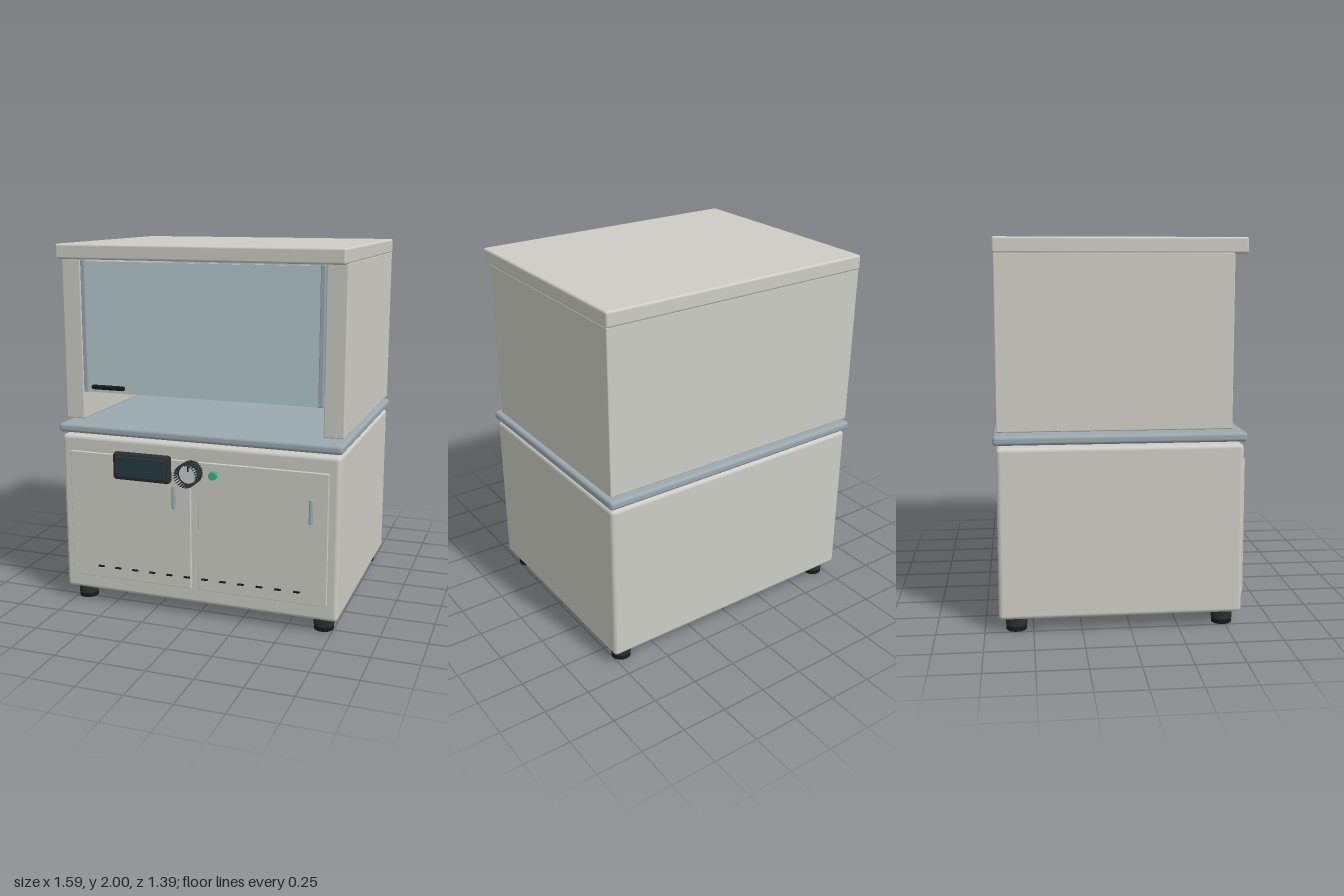
import * as THREE from 'three';
import { RoundedBoxGeometry } from 'three/addons/geometries/RoundedBoxGeometry.js';

const mat = (color) => new THREE.MeshStandardMaterial({ color });
const shell = mat(0xcdcdc5), steel = mat(0x9aa8ae), glass = mat(0xb4cacc), dark = mat(0x2b302f);
const black = mat(0x161a1a), screen = mat(0x243a40), green = mat(0x35b58a), silver = mat(0xc4cccf);

export function createModel() {
  const model = new THREE.Group();

  const add = (name, geometry, material, x = 0, y = 0, z = 0) => {
    const mesh = new THREE.Mesh(geometry, material);
    mesh.name = name;
    mesh.position.set(x, y, z);
    model.add(mesh);
    return mesh;
  };
  // Box given by its limits on each axis, with optional rounded edges
  const box = (name, material, [x0, x1], [y0, y1], [z0, z1], r = 0) => {
    const s = [x1 - x0, y1 - y0, z1 - z0];
    const g = r ? new RoundedBoxGeometry(...s, 3, r) : new THREE.BoxGeometry(...s);
    return add(name, g, material, (x0 + x1) / 2, (y0 + y1) / 2, (z0 + z1) / 2);
  };
  // Cylinder pointing along z between two depths
  const disc = (name, material, r, x, y, z0, z1, sides = 40) => {
    const g = new THREE.CylinderGeometry(r, r, z1 - z0, sides).rotateX(Math.PI / 2);
    return add(name, g, material, x, y, (z0 + z1) / 2);
  };

  // Lower cabinet and worktop
  box('cabinet', shell, [-0.785, 0.785], [0.075, 0.965], [-0.677, 0.578], 0.022);
  box('worktop', steel, [-0.797, 0.797], [0.979, 1.028], [-0.694, 0.592], 0.018);

  // Feet with a darker rubber pad
  for (const x of [-0.696, 0.696]) {
    for (const z of [-0.588, 0.49]) {
      add('foot', new THREE.CylinderGeometry(0.055, 0.055, 0.06, 28), dark, x, 0.055, z);
      add('footPad', new THREE.CylinderGeometry(0.053, 0.053, 0.025, 28), black, x, 0.0125, z);
    }
  }

  // Doors and their handles
  box('rightDoor', shell, [-0.73, -0.022], [0.163, 0.878], [0.57, 0.594], 0.003);
  box('leftDoor', shell, [0.022, 0.73], [0.163, 0.878], [0.57, 0.594], 0.003);
  for (const x of [-0.112, 0.643]) {
    box('doorHandle', steel, [x - 0.009, x + 0.009], [0.61, 0.743], [0.592, 0.618], 0.007);
  }

  // Row of ventilation slots
  for (let i = 0; i < 12; i++) {
    const x = -0.5555 + i * 0.1025;
    box('ventSlot', black, [x - 0.017, x + 0.017], [0.225, 0.232], [0.592, 0.606]);
  }

  // Control display
  box('displayHousing', dark, [-0.46, -0.128], [0.748, 0.9], [0.58, 0.627], 0.018);
  box('displayScreen', screen, [-0.437, -0.15], [0.766, 0.882], [0.615, 0.633], 0.006);

  // Ribbed control knob
  const kx = -0.012, ky = 0.823;
  disc('knobBody', dark, 0.06, kx, ky, 0.588, 0.645);
  disc('knobFace', silver, 0.05, kx, ky, 0.64, 0.648);
  box('knobPointer', black, [kx - 0.003, kx + 0.003], [0.838, 0.868], [0.645, 0.652]);
  const ribs = 28;
  for (let i = 0; i < ribs; i++) {
    const a = (i / ribs) * Math.PI * 2;
    const rib = add('knobRib', new THREE.BoxGeometry(0.008, 0.005, 0.1), dark,
      kx + Math.cos(a) * 0.06, ky + Math.sin(a) * 0.06, 0.643);
    rib.rotation.z = a;
  }

  // Indicator lamp
  disc('indicatorLamp', green, 0.022, 0.12, 0.823, 0.613, 0.642, 28);

  // Hood: side walls, back wall, roof
  for (const s of [-1, 1]) {
    const x = [s * 0.677, s * 0.785].sort((a, b) => a - b);
    box('hoodSide', shell, x, [1.045, 1.925], [-0.674, 0.513], 0.006);
  }
  box('hoodBack', shell, [-0.78, 0.78], [1.045, 1.925], [-0.674, -0.62], 0.006);
  box('hoodRoof', shell, [-0.787, 0.787], [1.92, 2], [-0.68, 0.58], 0.012);
  box('baffle', steel, [-0.45, 0.446], [1.12, 1.8], [-0.62, -0.58], 0.005);

  // Sliding sash window with rails and grip
  box('sashGlass', glass, [-0.655, 0.655], [1.2, 1.908], [0.498, 0.512]);
  for (const x of [-0.66, 0.66]) {
    box('sashRail', steel, [x - 0.012, x + 0.012], [1.2, 1.915], [0.49, 0.519], 0.004);
  }
  const grip = add('sashGrip', new THREE.CapsuleGeometry(0.013, 0.172, 6, 16), black, -0.513, 1.234, 0.542);
  grip.rotation.z = Math.PI / 2;

  return model;
}
